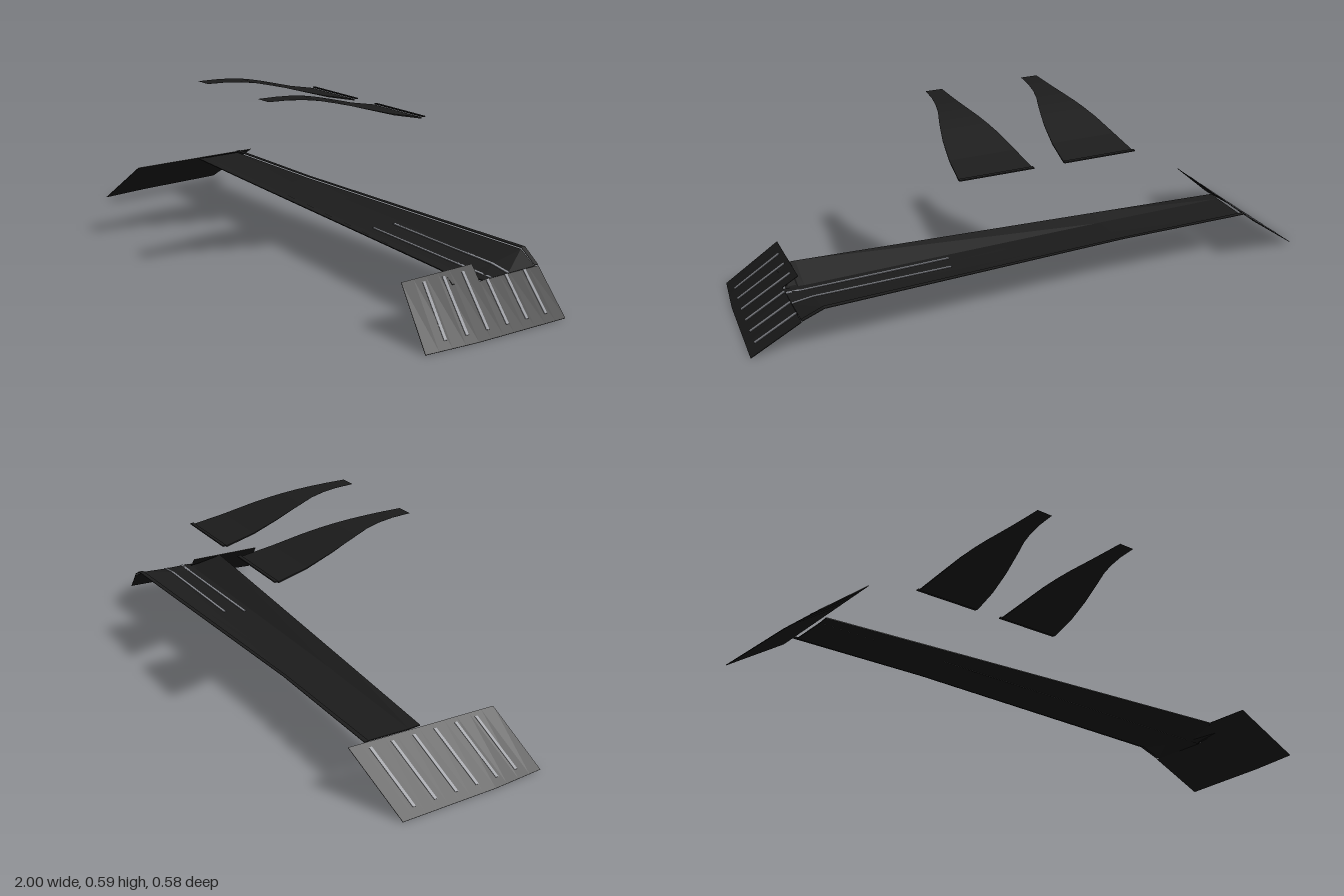
import * as THREE from 'three';

const carbon = new THREE.MeshStandardMaterial({ color: 0x1c1c1c, side: THREE.DoubleSide, flatShading: true });
carbon.name = 'dark carbon';
const grey = new THREE.MeshStandardMaterial({ color: 0x86888e, side: THREE.DoubleSide, flatShading: true });
grey.name = 'grey stripe';

// Closed skin through equal-length loops of [x, y, z], capped at both ends
function loft(sections, material, name) {
  const n = sections[0].length, index = [];
  for (let s = 0; s < sections.length - 1; s++) {
    for (let i = 0; i < n; i++) {
      const a = s * n + i, b = s * n + (i + 1) % n;
      index.push(a, b, b + n, a, b + n, a + n);
    }
  }
  const last = (sections.length - 1) * n;
  for (let i = 1; i < n - 1; i++) {
    index.push(0, i + 1, i, last, last + i, last + i + 1);
  }
  const geometry = new THREE.BufferGeometry();
  geometry.setAttribute('position', new THREE.Float32BufferAttribute(sections.flat(2), 3));
  geometry.setIndex(index);
  geometry.computeVertexNormals();
  const mesh = new THREE.Mesh(geometry, material);
  mesh.name = name;
  return mesh;
}

// Point on the sloped end plate: s runs rear to front, v runs top to bottom
function platePoint(s, v, lift) {
  const zb = -0.24 + 0.52 * s;
  const xb = zb < 0.1 ? 1 - 0.015 * (zb + 0.24) / 0.34 : 0.985 - 0.02 * (zb - 0.1) / 0.18;
  return [0.79 + (xb - 0.79) * v + lift * 0.6, 0.15 * (1 - v) + lift * 0.8, -0.295 + 0.52 * s + 0.055 * v];
}

function plateSlab(s0, s1, v0, v1, low, high, steps, material, name) {
  const sections = [];
  for (let k = 0; k <= steps; k++) {
    const s = s0 + (s1 - s0) * k / steps;
    sections.push([
      platePoint(s, v1, high), platePoint(s, v0, high),
      platePoint(s, v0, low), platePoint(s, v1, low),
    ]);
  }
  return loft(sections, material, name);
}

// rearTop is where the rear half of the plate starts, below the wing joint
function makeEndPlate(name, rearTop) {
  const group = new THREE.Group();
  group.name = name;
  group.add(plateSlab(0, 0.47, rearTop, 1, -0.002, 0, 6, carbon, 'plateRear'));
  group.add(plateSlab(0.47, 1, 0, 1, -0.002, 0, 6, carbon, 'plateFront'));
  for (let i = 0; i < 6; i++) {
    const s = 0.85 - 0.146 * i;
    const top = i < 3 ? 0.07 : Math.max(0.07, rearTop);
    group.add(plateSlab(s - 0.01, s + 0.01, top, 0.88, 0, 0.002, 1, grey, 'plateStripe'));
  }
  return group;
}

// Narrowing, rising upper flap with a separate trailing strip
function makeFlap(name) {
  const group = new THREE.Group();
  group.name = name;
  const section = ([z, y, w, t]) => [[w, y, z], [-w, y, z], [-w, y - t, z], [w, y - t, z]];
  group.add(loft([
    [-0.258, 0.486, 0.126, 0.005], [-0.15, 0.508, 0.115, 0.004], [-0.05, 0.535, 0.098, 0.002],
    [0.01, 0.551, 0.083, 0.0005], [0.06, 0.563, 0.069, 0.0004], [0.11, 0.574, 0.053, 0.0004],
    [0.16, 0.581, 0.042, 0.0004], [0.22, 0.586, 0.034, 0.0004], [0.29, 0.588, 0.03, 0.0004],
  ].map(section), carbon, 'flapBlade'));
  group.add(loft([
    [-0.273, 0.489, 0.128, 0.004], [-0.262, 0.49, 0.128, 0.004],
  ].map(section), carbon, 'flapTrailingStrip'));
  return group;
}

// Height of the rear sheet: level on one side, dipping forward towards the other
const sheetY = (x, dip) => (x > 0.8 ? 0.113 : 0.147 - dip * (x + 0.78) / 1.55);

function makeWing() {
  const group = new THREE.Group();
  group.name = 'mainWing';
  const slab = ([x, y, rear, front, t]) => [
    [x, y, rear], [x, y, front], [x, y - t, front], [x, y - t, rear],
  ];
  // Broad rear sheet, folding down to the left end plate
  group.add(loft([
    [-0.78, -0.222, -0.075], [-0.3, -0.226, -0.06], [0.77, -0.277, -0.045], [0.84, -0.267, -0.05],
  ].map(([x, rear, front]) => {
    const edge = [[rear, 0], [-0.155, 0.024], [front, 0.037]];
    const top = edge.map(([z, dip]) => [x, sheetY(x, dip), z]);
    return [...top, ...top.map(([, y, z]) => [x, y - 0.003, z]).reverse()];
  }), carbon, 'rearSheet'));
  // Thin trailing strip above a narrow slot
  group.add(loft([
    [-0.79, 0.152, -0.24, -0.224, 0.002], [-0.3, 0.152, -0.24, -0.228, 0.002],
    [0.77, 0.152, -0.295, -0.278, 0.002], [0.84, 0.116, -0.282, -0.267, 0.002],
  ].map(slab), carbon, 'trailingStrip'));
  // Front element, its leading edge raised more and more to the left
  group.add(loft([
    [-0.78, 0.147, -0.078, 0.15, -0.038], [-0.3, 0.135, -0.065, 0.15, -0.007],
    [0.77, 0.11, -0.047, 0.15, 0.06], [0.79, 0.11, -0.047, 0.149, 0.062],
    [0.83, 0.109, -0.047, 0.121, 0.064],
  ].map(([x, yr, rear, yf, front]) => [
    [x, yr, rear], [x, yf, front], [x, yf - 0.003, front], [x, yr - 0.003, rear],
  ]), carbon, 'frontElement'));
  // Grey lines along the sheet
  for (const [x0, z, dip] of [[0.3, -0.155, 0.024], [0.28, -0.083, 0.033]]) {
    group.add(loft([x0, 0.77, 0.84].map((x) => (
      slab([x, sheetY(x, dip) + 0.0025, z - 0.005, z + 0.005, 0.0025])
    )), grey, 'wingLine'));
  }
  return group;
}

export function createModel() {
  const model = new THREE.Group();
  model.name = 'wingAssembly';
  model.add(makeWing());
  for (const [side, label, rearTop] of [[1, 'left', 0.25], [-1, 'right', 0]]) {
    const plate = makeEndPlate(label + 'EndPlate', rearTop);
    plate.scale.x = side;
    const flap = makeFlap(label + 'Flap');
    flap.position.x = 0.182 * side;
    model.add(plate, flap);
  }
  return model;
}
